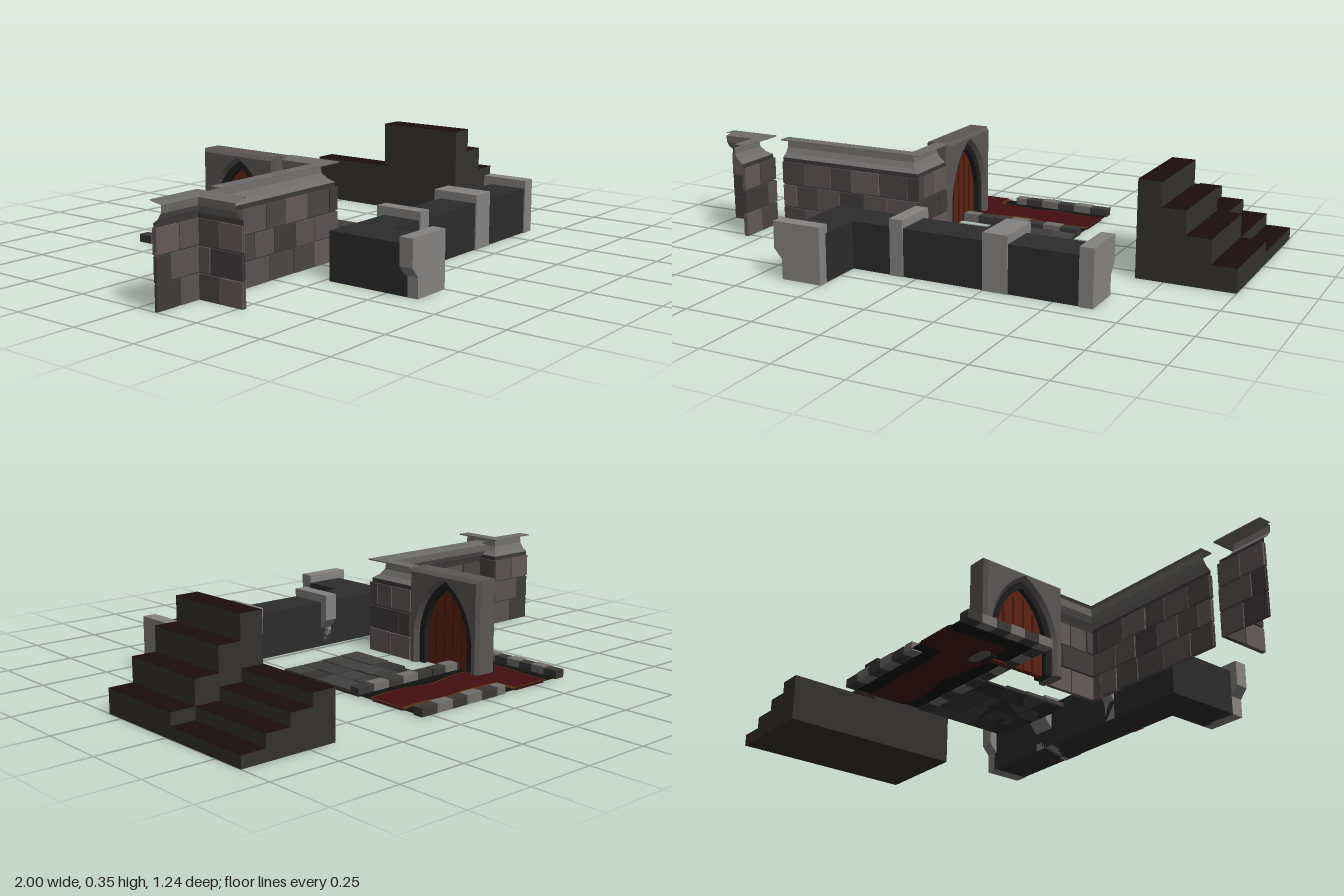
import * as THREE from 'three';

const mat = (color, extra = {}) => new THREE.MeshStandardMaterial({ color, flatShading: true, side: THREE.DoubleSide, ...extra });
const M = {
  post: mat(0x858381), ledge: mat(0x2c2c2c), stair: mat(0x343230), tread: mat(0x1c0d0d),
  wall: mat(0x3c3838), cap: mat(0x6e6c6a), arch: mat(0x5c5656), trim: mat(0x1c1e1c),
  door: mat(0x5e2212), doorDark: mat(0x45180d), red: mat(0x420e10), gold: mat(0x55340f), black: mat(0x101210),
  light: mat(0x726e6c), dark: mat(0x3a3737),
};
const BRICKS = [mat(0x655a5a), mat(0x4c4646), mat(0x5a5252), mat(0x403c3c)];
const TILES = [mat(0x3c3b3a), mat(0x353433), mat(0x424140)];

let seed = 7;
const rand = () => (seed = (seed * 16807) % 2147483647) / 2147483647;

function add(parent, name, geometry, material) {
  const mesh = new THREE.Mesh(geometry, material);
  mesh.name = name;
  parent.add(mesh);
  return mesh;
}

// Box given by its extents on each axis
function box(parent, name, material, [x0, x1], [y0, y1], [z0, z1]) {
  const m = add(parent, name, new THREE.BoxGeometry(x1 - x0, y1 - y0, z1 - z0), material);
  m.position.set((x0 + x1) / 2, (y0 + y1) / 2, (z0 + z1) / 2);
  return m;
}

function group(parent, name) {
  const g = new THREE.Group();
  g.name = name;
  parent.add(g);
  return g;
}

// Staircase descending toward +x
function stairs(parent, name, z0, z1, height) {
  const g = group(parent, name), edges = [0.65, 0.735, 0.82, 0.91, 1];
  for (let i = 0; i < 4; i++) {
    const y = height * (4 - i) / 4, x = [edges[i], edges[i + 1]];
    box(g, 'step', M.stair, x, [0, y - 0.001], [z0, z1]);
    box(g, 'tread', M.tread, x, [y - 0.001, y], [z0, z1]);
  }
}

// Post whose head juts out on one side; u is the jutting axis
function post(parent, name, u0, foot, u1, width) {
  const s = new THREE.Shape([[u1, 0], [foot, 0], [foot, 0.07], [u0, 0.105], [u0, 0.2], [u1, 0.2]].map(p => new THREE.Vector2(...p)));
  return add(parent, name, new THREE.ExtrudeGeometry(s, { depth: width, bevelEnabled: false }), M.post);
}

function ledge(parent) {
  const g = group(parent, 'lowLedge');
  box(g, 'ledgeLong', M.ledge, [-0.4, 0.6], [0, 0.17], [0.27, 0.415]);
  box(g, 'ledgeShort', M.ledge, [-0.4, -0.25], [0, 0.17], [0.415, 0.58]);
  for (const [x0, x1] of [[-0.1, -0.05], [0.25, 0.34], [0.59, 0.64]]) {
    const p = post(g, 'ledgePost', -0.42, -0.27, -0.24, x1 - x0);
    p.geometry.dispose();
    p.geometry = post(new THREE.Group(), '', 0.24, 0.27, 0.42, x1 - x0).geometry;
    p.rotation.y = -Math.PI / 2;
    p.position.x = x1;
  }
  post(g, 'ledgeEndPost', -0.43, -0.4, -0.25, 0.05).position.z = 0.57;
}

// Thin shell swept along path points [x, z, inwardX, inwardZ] from a profile [inset, y]
function sweep(parent, name, path, profile, material) {
  const pos = [], idx = [], n = profile.length;
  for (const [x, z, ix, iz] of path)
    for (const [d, y] of profile) pos.push(x + ix * d, y, z + iz * d);
  for (let i = 0; i < path.length - 1; i++)
    for (let j = 0; j < n - 1; j++) {
      const a = i * n + j, b = a + n;
      idx.push(a, b, a + 1, b, b + 1, a + 1);
    }
  const geo = new THREE.BufferGeometry();
  geo.setAttribute('position', new THREE.Float32BufferAttribute(pos, 3));
  geo.setIndex(idx);
  geo.computeVertexNormals();
  add(parent, name, geo, material);
}

// Staggered courses of bricks on one straight run
function bricks(parent, axis, from, to, fixed) {
  const rows = [0, 0.087, 0.174, 0.262];
  for (let r = 0; r < 3; r++) {
    let a = from, len = r % 2 ? 0.06 : 0.1;
    while (a < to - 0.001) {
      const b = to - a - len < 0.035 ? to : a + len;
      const out = 0.005 + rand() * 0.004;
      const run = [a + 0.002, b - 0.002], across = [fixed - out, fixed + out], y = [rows[r] + (r ? 0.003 : 0), rows[r + 1] - 0.003];
      const m = BRICKS[Math.floor(rand() * 4)];
      if (axis === 'x') box(parent, 'brick', m, run, y, across);
      else box(parent, 'brick', m, across, y, run);
      a = b;
      len = 0.07 + rand() * 0.06;
    }
  }
}

function wall(parent, name, path) {
  const g = group(parent, name);
  sweep(g, 'wallFace', path, [[0.011, 0], [0.011, 0.275]], M.wall);
  sweep(g, 'cornice', path, [[0.011, 0.275], [0.03, 0.288], [0.044, 0.308], [0.047, 0.334], [0, 0.342], [0, 0.346], [0.05, 0.346]], M.cap);
  return g;
}

// Pointed arch outline, centred on u = 0
function archPath(target, half, spring, apex) {
  target.moveTo(-half, 0);
  target.lineTo(-half, spring);
  target.quadraticCurveTo(-half * 0.85, spring + (apex - spring) * 0.68, 0, apex);
  target.quadraticCurveTo(half * 0.85, spring + (apex - spring) * 0.68, half, spring);
  target.lineTo(half, 0);
  return target;
}

function ring(outer, inner) {
  const s = archPath(new THREE.Shape(), ...outer);
  [...archPath(new THREE.Path(), ...inner).getPoints(8)].reverse().forEach(p => s.lineTo(p.x, p.y));
  s.closePath();
  return s;
}

function doorway(parent) {
  const g = group(parent, 'doorway');
  g.position.set(-0.2, 0, -0.27);
  g.rotation.y = Math.PI / 2;
  // Surround
  const s = new THREE.Shape();
  s.moveTo(-0.13, 0); s.lineTo(-0.17, 0); s.lineTo(-0.17, 0.346); s.lineTo(0.17, 0.346); s.lineTo(0.17, 0); s.lineTo(0.13, 0);
  archPath(new THREE.Path(), 0.13, 0.12, 0.318).getPoints(8).reverse().forEach(p => s.lineTo(p.x, p.y));
  const geo = new THREE.ExtrudeGeometry(s, { depth: 0.07, bevelSize: 0.012, bevelOffset: -0.012, bevelThickness: 0.013, bevelSegments: 1 });
  geo.translate(0, 0, -0.035);
  const p = geo.attributes.position;
  for (let i = 0; i < p.count; i++) if (p.getY(i) < 0.02) p.setY(i, 0);
  add(g, 'archSurround', geo, M.arch);
  // Dark inner trim and planked door
  const trim = new THREE.ExtrudeGeometry(ring([0.132, 0.12, 0.322], [0.105, 0.12, 0.29]), { depth: 0.06, bevelEnabled: false, curveSegments: 8 });
  add(g, 'archTrim', trim.translate(0, 0, -0.03), M.trim);
  const door = new THREE.ExtrudeGeometry(archPath(new THREE.Shape(), 0.106, 0.12, 0.291), { depth: 0.02, bevelEnabled: false, curveSegments: 8 });
  add(g, 'door', door.translate(0, 0, -0.01), M.door);
  for (const u of [-0.063, -0.021, 0.021, 0.063])
    box(g, 'plankGap', M.doorDark, [u - 0.003, u + 0.003], [0, Math.abs(u) > 0.04 ? 0.215 : 0.26], [-0.012, 0.012]);
}

// Carpet outline with wavy edges, widened by d; shape y is -z
function carpetShape(d) {
  const v = (x, y) => new THREE.Vector2(x, y);
  const s = new THREE.Shape();
  s.moveTo(-0.3 - d, 0.62);
  s.splineThru([v(-0.295 - d, 0.55), v(-0.305 - d, 0.45), v(-0.295 - d, 0.385 - d), v(-0.24, 0.385 - d), v(-0.15, 0.375 - d),
    v(-0.06, 0.385 - d), v(0.03, 0.4 - d), v(0.12, 0.378 - d), v(0.2, 0.375 - d), v(0.29, 0.385 - d)]);
  s.lineTo(0.29, 0.53 + d);
  s.splineThru([v(0.2, 0.522 + d), v(0.1, 0.535 + d), v(0, 0.525 + d), v(-0.08, 0.53 + d), v(-0.145 + d, 0.54 + d), v(-0.15 + d, 0.62)]);
  return s;
}

function carpetFloor(parent) {
  const g = group(parent, 'carpetFloor');
  const flat = (name, shape, y, m) => add(g, name, new THREE.ShapeGeometry(shape, 6).rotateX(-Math.PI / 2).translate(0, y, 0), m);
  const base = new THREE.Shape([[-0.4, 0.28], [0.29, 0.28], [0.29, 0.62], [-0.4, 0.62]].map(p => new THREE.Vector2(...p)));
  flat('floorBase', base, 0.005, M.black);
  flat('carpetTrim', carpetShape(0.012), 0.009, M.gold);
  flat('carpet', carpetShape(0), 0.012, M.red);
  flat('carpetUnderside', carpetShape(0), 0.001, M.red);
  // Curb stones in alternating tones
  const curb = (x0, x1, z0, z1, alongX, n) => {
    for (let i = 0; i < n; i++) {
      const a = i / n, b = (i + 1) / n, L = THREE.MathUtils.lerp;
      box(g, 'curbStone', i % 2 ? M.light : M.dark, alongX ? [L(x0, x1, a), L(x0, x1, b)] : [x0, x1],
        [0, i % 2 ? 0.032 : 0.029], alongX ? [z0, z1] : [L(z0, z1, a), L(z0, z1, b)]);
    }
  };
  curb(-0.4, -0.36, -0.62, -0.28, false, 6);
  curb(-0.36, -0.06, -0.32, -0.28, true, 5);
  curb(-0.055, 0.29, -0.32, -0.28, true, 5);
  curb(-0.055, 0.29, -0.62, -0.58, true, 5);
  box(g, 'curbStone', M.light, [-0.1, -0.06], [0, 0.03], [-0.62, -0.58]);
}

function tileFloor(parent) {
  const g = group(parent, 'tileFloor'), s = 0.0863;
  box(g, 'tileBed', M.ledge, [-0.055, 0.29], [0, 0.006], [-0.275, 0.07]);
  for (let r = 0; r < 4; r++)
    for (let c = 0; c < 4; c++) {
      const x = -0.055 + c * s, z = -0.275 + r * s;
      if (r + c === 0) continue;
      box(g, 'floorTile', TILES[Math.floor(rand() * 3)], [x + 0.002, x + s - 0.002], [0, 0.014 + rand() * 0.006], [z + 0.002, z + s - 0.002]);
    }
}

export function createModel() {
  const model = new THREE.Group();
  model.name = 'dungeonSet';
  stairs(model, 'tallStairs', -0.275, 0.07, 0.346);
  stairs(model, 'lowStairs', -0.62, -0.275, 0.172);
  ledge(model);
  // Outer corner wall
  const corner = wall(model, 'cornerWall', [[-1, 0.07, 0, 1], [-0.8, 0.07, -1, 1], [-0.8, 0.27, -1, 0]]);
  bricks(corner, 'x', -1, -0.805, 0.081);
  bricks(corner, 'z', 0.075, 0.27, -0.811);
  // Long wall turning toward the doorway
  const long = wall(model, 'longWall', [[-0.745, 0.12, 0, -1], [-0.155, 0.12, -1, -1], [-0.155, -0.1, -1, 0]]);
  bricks(long, 'x', -0.745, -0.16, 0.109);
  bricks(long, 'z', -0.1, 0.115, -0.166);
  doorway(model);
  carpetFloor(model);
  tileFloor(model);
  return model;
}
